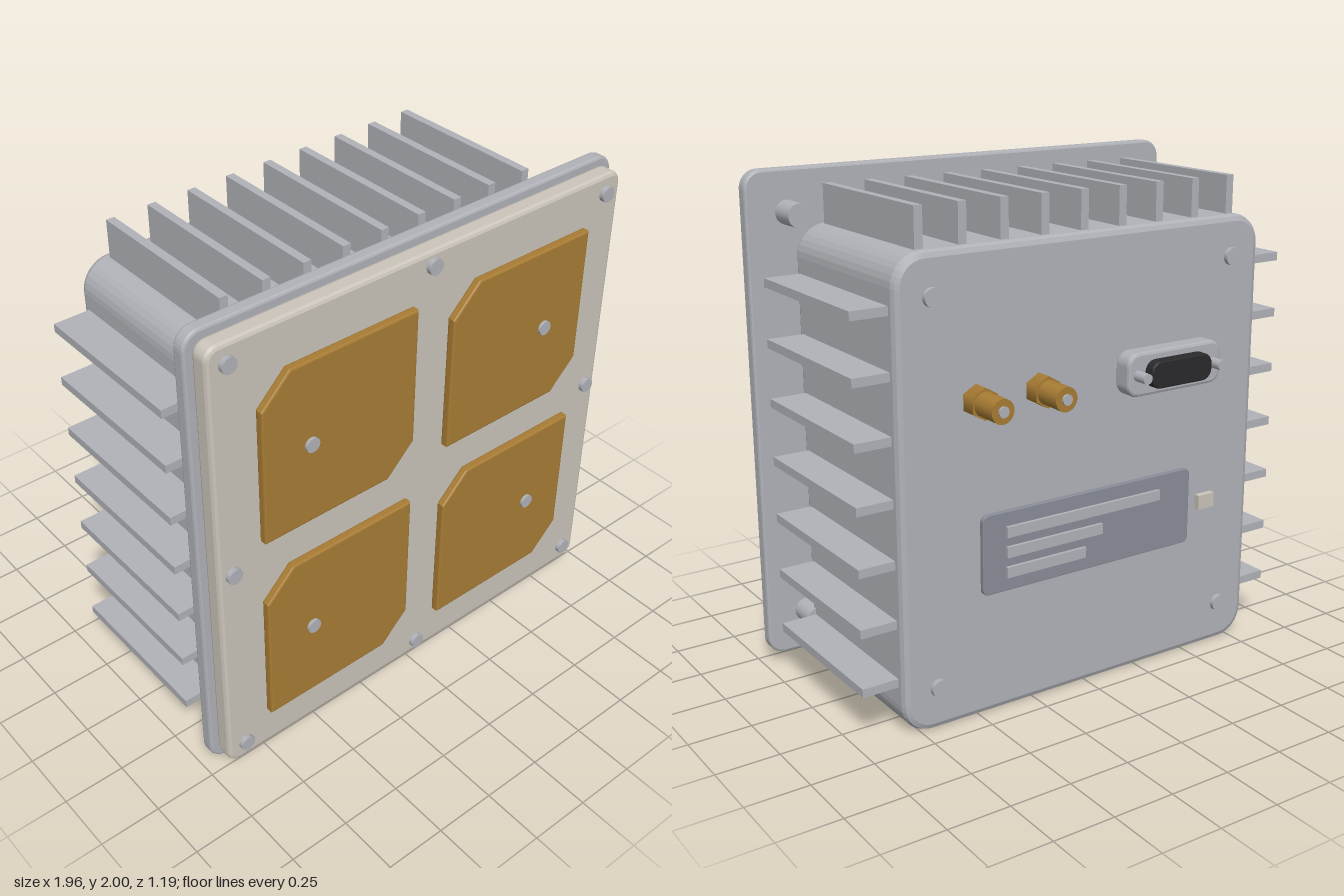
import * as THREE from 'three';

const mat = (name, color) => {
  const m = new THREE.MeshStandardMaterial({ color });
  m.name = name;
  return m;
};

export function createModel() {
  const metal = mat('grey metal', 0xb0b2b8);
  const cream = mat('cream panel', 0xcbc5ba);
  const gold = mat('gold', 0xa87c34);
  const labelGrey = mat('label grey', 0x898d98);
  const black = mat('black insulator', 0x2a2a2c);
  const root = new THREE.Group();
  root.name = 'antennaUnit';

  const add = (name, geo, material, x = 0, y = 0, z = 0) => {
    const m = new THREE.Mesh(geo, material);
    m.name = name;
    m.position.set(x, y, z);
    root.add(m);
    return m;
  };
  // Bevelled extrusion of a shape between two depths
  const extrude = (shape, z0, z1, bevel, curveSegments = 4) => {
    const g = new THREE.ExtrudeGeometry(shape, {
      depth: z1 - z0 - 2 * bevel, bevelEnabled: bevel > 0, bevelSize: bevel,
      bevelThickness: bevel, bevelOffset: -bevel, bevelSegments: 2, curveSegments,
    });
    return g.translate(0, 0, z0 + bevel);
  };
  const roundedRect = (w, h, r) => {
    const s = new THREE.Shape(), a = w / 2, b = h / 2;
    s.absarc(a - r, b - r, r, 0, Math.PI / 2);
    s.absarc(-a + r, b - r, r, Math.PI / 2, Math.PI);
    s.absarc(-a + r, -b + r, r, Math.PI, Math.PI * 1.5);
    s.absarc(a - r, -b + r, r, Math.PI * 1.5, Math.PI * 2);
    s.closePath();
    return s;
  };
  const slab = (name, material, x, y, w, h, r, z0, z1, bevel) =>
    add(name, extrude(roundedRect(w, h, r), z0, z1, bevel), material, x, y);
  // Cylinder along z
  const rod = (name, material, x, y, r, z0, z1, sides = 16) =>
    add(name, new THREE.CylinderGeometry(r, r, z1 - z0, sides).rotateX(Math.PI / 2),
      material, x, y, (z0 + z1) / 2);

  // Housing and front plates
  slab('housing', metal, 0, 0.9, 1.645, 1.8, 0.12, -0.412, 0.345, 0.025);
  slab('backPlate', metal, 0, 1.02, 1.96, 1.96, 0.07, 0.42, 0.475, 0.01);
  slab('frontPanel', cream, 0, 1.02, 1.9, 1.9, 0.05, 0.475, 0.552, 0.015);

  // Cooling fins on the top and both sides
  for (let i = 0; i < 9; i++) {
    add('topFin', new THREE.BoxGeometry(0.034, 0.17, 0.675), metal, (i - 4) * 0.1745, 1.865, -0.0325);
  }
  for (const s of [-1, 1]) for (let i = 0; i < 7; i++) {
    add('sideFin', new THREE.BoxGeometry(0.17, 0.034, 0.675), metal, s * 0.885, 0.21 + i * 0.232, -0.0325);
  }

  // Square patches with two clipped corners, each with a feed pin
  const a = 0.34, c = 0.12;
  const patch = new THREE.Shape([
    [-a, -a], [a - c, -a], [a, -a + c], [a, a], [-a + c, a], [-a, a - c],
  ].map(p => new THREE.Vector2(...p)));
  for (const s of [-1, 1]) for (const y of [0.595, 1.447]) {
    add('patch', extrude(patch, 0.55, 0.585, 0.007), gold, s * 0.427, y);
    rod('feedPin', metal, s * 0.563, y, 0.029, 0.55, 0.597);
  }

  // Screws on the front panel and the rear wall
  const frontScrews = [[0, 1.915], [0, 0.13]];
  for (const s of [-1, 1]) frontScrews.push([s * 0.872, 1.895], [s * 0.872, 0.15], [s * 0.89, 1.02]);
  for (const [x, y] of frontScrews) rod('frontScrew', metal, x, y, 0.031, 0.54, 0.572);
  for (const s of [-1, 1]) {
    for (const y of [0.17, 1.64]) rod('rearScrew', metal, s * 0.678, y, 0.035, -0.432, -0.4);
    // Spacers between the housing and the plate
    for (const y of [0.208, 1.835]) rod('standoff', metal, s * 0.813, y, 0.047, 0.305, 0.425, 20);
    // Bent coaxial lead
    const path = new THREE.CatmullRomCurve3([
      [0.585, 0.245, 0.43], [0.585, 0.245, 0.385], [0.57, 0.242, 0.356], [0.5, 0.235, 0.335],
    ].map(([x, y, z]) => new THREE.Vector3(s * x, y, z)));
    add('coaxLead', new THREE.TubeGeometry(path, 12, 0.024, 10), gold);
  }

  // Threaded coaxial sockets
  for (const x of [0.232, 0.502]) {
    rod('socketNut', gold, x, 1.246, 0.061, -0.475, -0.4, 6);
    rod('socketBarrel', gold, x, 1.246, 0.047, -0.588, -0.47, 18);
    rod('socketPin', metal, x, 1.246, 0.021, -0.597, -0.58, 12);
  }

  // Multi-pin connector with its flange and jack posts
  slab('connectorFlange', metal, -0.352, 1.249, 0.455, 0.172, 0.05, -0.488, -0.405, 0.012);
  slab('connectorCore', black, -0.352, 1.249, 0.295, 0.108, 0.045, -0.53, -0.48, 0.006);
  for (const x of [-0.535, -0.169]) rod('jackPost', metal, x, 1.249, 0.021, -0.55, -0.48, 12);

  // Blank identification plate with raised strips
  slab('labelPlate', labelGrey, 0, 0.648, 0.98, 0.315, 0.025, -0.43, -0.405, 0.003);
  for (const [y, w] of [[0.727, 0.72], [0.647, 0.44], [0.567, 0.36]]) {
    add('labelStrip', new THREE.BoxGeometry(w, 0.042, 0.02), metal, 0.39 - w / 2, y, -0.434);
  }
  add('indicator', new THREE.BoxGeometry(0.08, 0.06, 0.035), cream, -0.578, 0.648, -0.42);

  return root;
}
